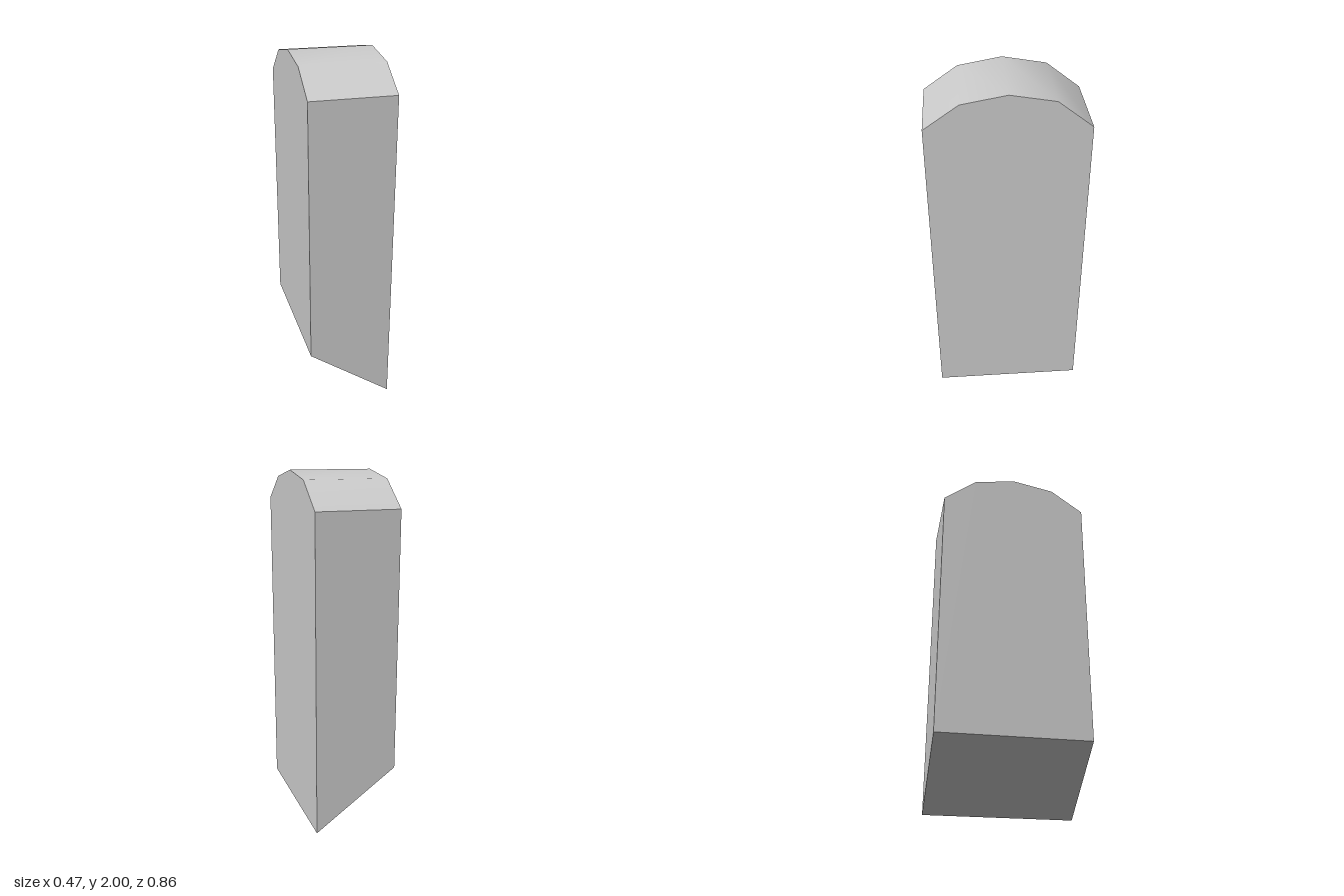
import * as THREE from 'three';
import { toCreasedNormals } from 'three/addons/utils/BufferGeometryUtils.js';

const WIDTH = 0.474;      // along x
const BOTTOM_RISE = 0.335; // height of the slanted underside at the -x edge

export function createModel() {
  const group = new THREE.Group();
  group.name = 'archedBlock';

  // Side profile (z, y): straight sides under a faceted arch
  const profile = [
    [-0.432, 0], [0.432, 0],
    [0.432, 1.825], [0.243, 1.957], [0, 2], [-0.243, 1.957], [-0.432, 1.81],
  ].map(([z, y]) => new THREE.Vector2(z, y));

  const geometry = new THREE.ExtrudeGeometry(new THREE.Shape(profile), {
    depth: WIDTH, bevelEnabled: false,
  });
  geometry.translate(0, 0, -WIDTH / 2);
  geometry.rotateY(-Math.PI / 2);

  // Slant the underside by lifting its -x edge
  const pos = geometry.attributes.position;
  for (let i = 0; i < pos.count; i++) {
    if (pos.getY(i) < 0.01 && pos.getX(i) < 0) pos.setY(i, BOTTOM_RISE);
  }

  // Smooth across the arch, sharp everywhere else
  const block = new THREE.Mesh(
    toCreasedNormals(geometry, 0.7),
    new THREE.MeshStandardMaterial({ color: 0xcccccc }),
  );
  block.name = 'block';
  group.add(block);
  return group;
}
